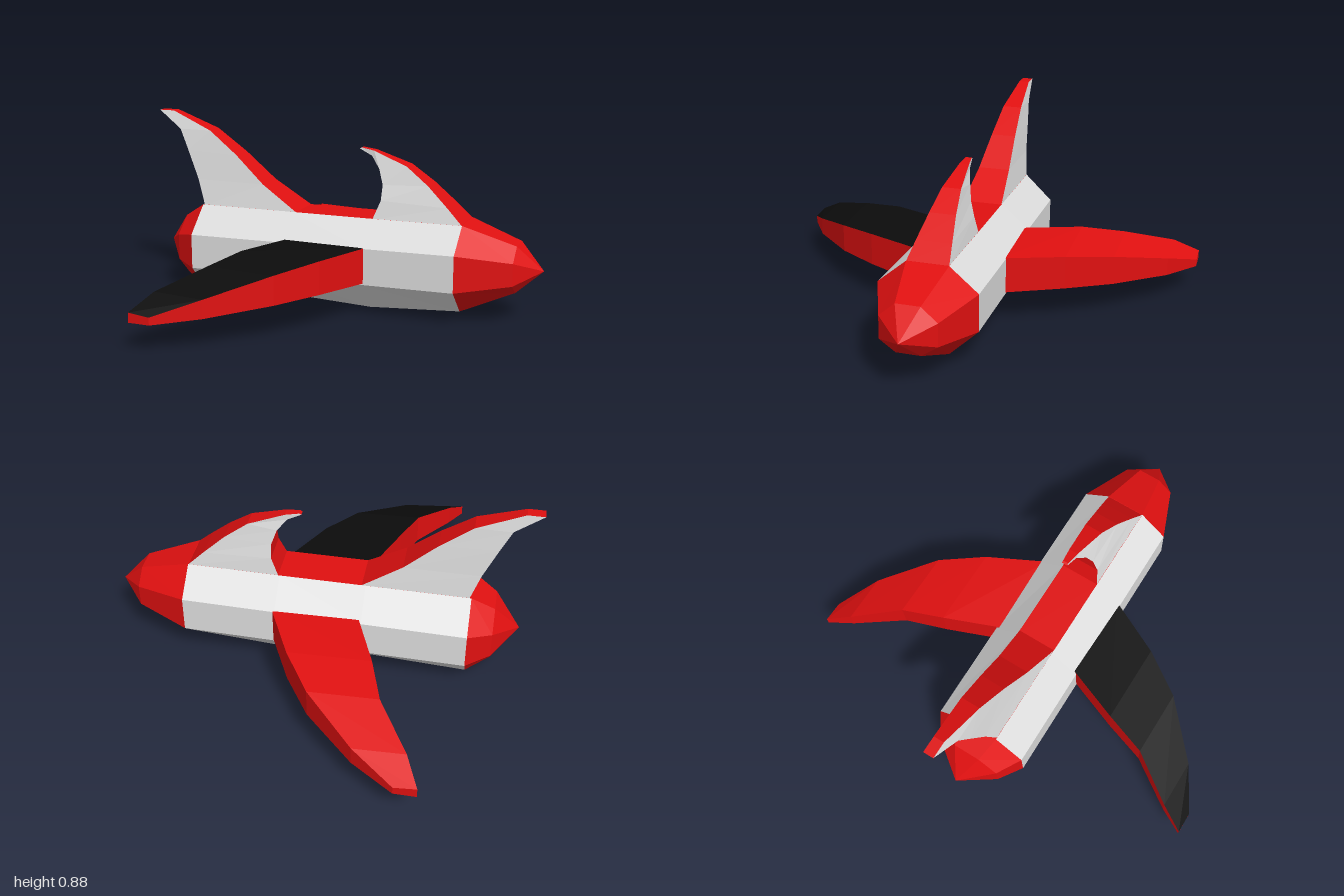
import * as THREE from 'three';

const makeMaterial = (name, color) => {
  const m = new THREE.MeshStandardMaterial({ color, flatShading: true });
  m.name = name;
  return m;
};

// Skins a series of four- or eight-cornered rings; colours[j] is the material of side j.
function loft(name, rings, colours, { flip = false, cap = null } = {}) {
  const batches = new Map();
  const tri = (mat, a, b, c) => {
    const area = new THREE.Vector3().subVectors(b, a).cross(new THREE.Vector3().subVectors(c, a));
    if (area.length() < 1e-8) return;
    if (!batches.has(mat)) batches.set(mat, []);
    batches.get(mat).push(...(flip ? [a, c, b] : [a, b, c]));
  };
  const n = rings[0].length;
  for (let i = 0; i < rings.length - 1; i++) {
    for (let j = 0; j < n; j++) {
      const k = (j + 1) % n;
      const [a, b, c, d] = [rings[i][j], rings[i][k], rings[i + 1][k], rings[i + 1][j]];
      tri(colours[j], a, b, c);
      tri(colours[j], a, c, d);
    }
  }
  if (cap) {
    const r = rings[rings.length - 1];
    tri(cap, r[0], r[1], r[2]);
    tri(cap, r[0], r[2], r[3]);
  }
  const geometry = new THREE.BufferGeometry();
  const points = [], materials = [];
  for (const [mat, list] of batches) {
    geometry.addGroup(points.length, list.length, materials.length);
    materials.push(mat);
    points.push(...list);
  }
  geometry.setFromPoints(points);
  geometry.computeVertexNormals();
  const mesh = new THREE.Mesh(geometry, materials);
  mesh.name = name;
  return mesh;
}

const v = (x, y, z) => new THREE.Vector3(x, y, z);

// Eight-sided hull section: station, half width, half flat, four heights from top to bottom
const hullRing = ([x, a, b, top, up, low, bottom]) => [
  v(x, top, -b), v(x, top, b), v(x, up, a), v(x, low, a),
  v(x, bottom, b), v(x, bottom, -b), v(x, low, -a), v(x, up, -a),
];

export function createModel() {
  const red = makeMaterial('red', 0xe01010);
  const grey = makeMaterial('light grey', 0xdedede);
  const black = makeMaterial('black', 0x0c0c0c);

  const craft = new THREE.Group();
  craft.name = 'craft';
  craft.position.z = -0.11;

  // Hull: pointed tail, straight body with a red top strip, pointed nose
  const hull = [
    [-0.908, 0, 0, 0.225, 0.225, 0.225, 0.225],
    [-0.79, 0.154, 0.065, 0.37, 0.29, 0.165, 0.08],
    [-0.68, 0.225, 0.095, 0.44, 0.315, 0.148, 0.005],
    [-0.2, 0.225, 0.095, 0.443, 0.323, 0.155, 0.03],
    [0.2, 0.225, 0.095, 0.445, 0.332, 0.16, 0.015],
    [0.635, 0.225, 0.095, 0.45, 0.34, 0.168, 0.045],
    [0.88, 0.127, 0.055, 0.368, 0.305, 0.2, 0.15],
    [0.997, 0, 0, 0.25, 0.25, 0.25, 0.25],
  ].map(hullRing);
  const allRed = Array(8).fill(red);
  craft.add(
    loft('tail', hull.slice(0, 3), allRed),
    loft('body', hull.slice(2, 6), [red, ...Array(7).fill(grey)]),
    loft('nose', hull.slice(5), allRed),
  );

  // Swept wings: span, leading x, trailing x, leading top, trailing top, underside
  const wing = [
    [0.2, 0.22, -0.185, 0.335, 0.335, 0.167],
    [0.47, 0.09, -0.29, 0.325, 0.335, 0.17],
    [0.67, -0.04, -0.355, 0.3, 0.31, 0.165],
    [0.89, -0.27, -0.5, 0.23, 0.24, 0.145],
    [1.008, -0.46, -0.56, 0.165, 0.175, 0.13],
  ];
  for (const side of [1, -1]) {
    const rings = wing.map(([w, lead, trail, leadTop, trailTop, low]) => [
      v(lead, leadTop, side * w), v(trail, trailTop, side * w),
      v(trail, low, side * w), v(lead, low, side * w),
    ]);
    const top = side > 0 ? black : red;
    craft.add(loft(side > 0 ? 'leftWing' : 'rightWing', rings, [top, red, red, red],
      { flip: side < 0, cap: red }));
  }

  // Curved fins: leading x, leading y, trailing x, trailing y, half width, sideways lean
  const addFin = (name, rows) => {
    const rings = rows.map(([lx, ly, tx, ty, h, s]) => [
      v(tx, ty, s + h), v(lx, ly, s + h), v(lx, ly, s - h), v(tx, ty, s - h),
    ]);
    craft.add(loft(name, rings, [grey, red, grey, red], { cap: red }));
  };
  addFin('rearFin', [
    [-0.18, 0.442, -0.67, 0.435, 0.095, 0],
    [-0.365, 0.56, -0.715, 0.56, 0.076, -0.005],
    [-0.515, 0.69, -0.78, 0.7, 0.06, -0.01],
    [-0.665, 0.8, -0.83, 0.8, 0.046, -0.014],
    [-0.88, 0.885, -0.958, 0.885, 0.025, -0.02],
  ]);
  addFin('frontFin', [
    [0.635, 0.448, 0.205, 0.44, 0.095, 0],
    [0.56, 0.52, 0.24, 0.53, 0.08, -0.004],
    [0.46, 0.61, 0.24, 0.6, 0.06, -0.009],
    [0.35, 0.69, 0.215, 0.67, 0.043, -0.014],
    [0.18, 0.75, 0.17, 0.725, 0.022, -0.019],
    [0.115, 0.76, 0.105, 0.755, 0.014, -0.02],
  ]);

  // The whole craft is turned slightly away from the front
  const model = new THREE.Group();
  model.name = 'model';
  model.rotation.y = 0.2237;
  model.add(craft);
  const root = new THREE.Group();
  root.add(model);
  return root;
}
